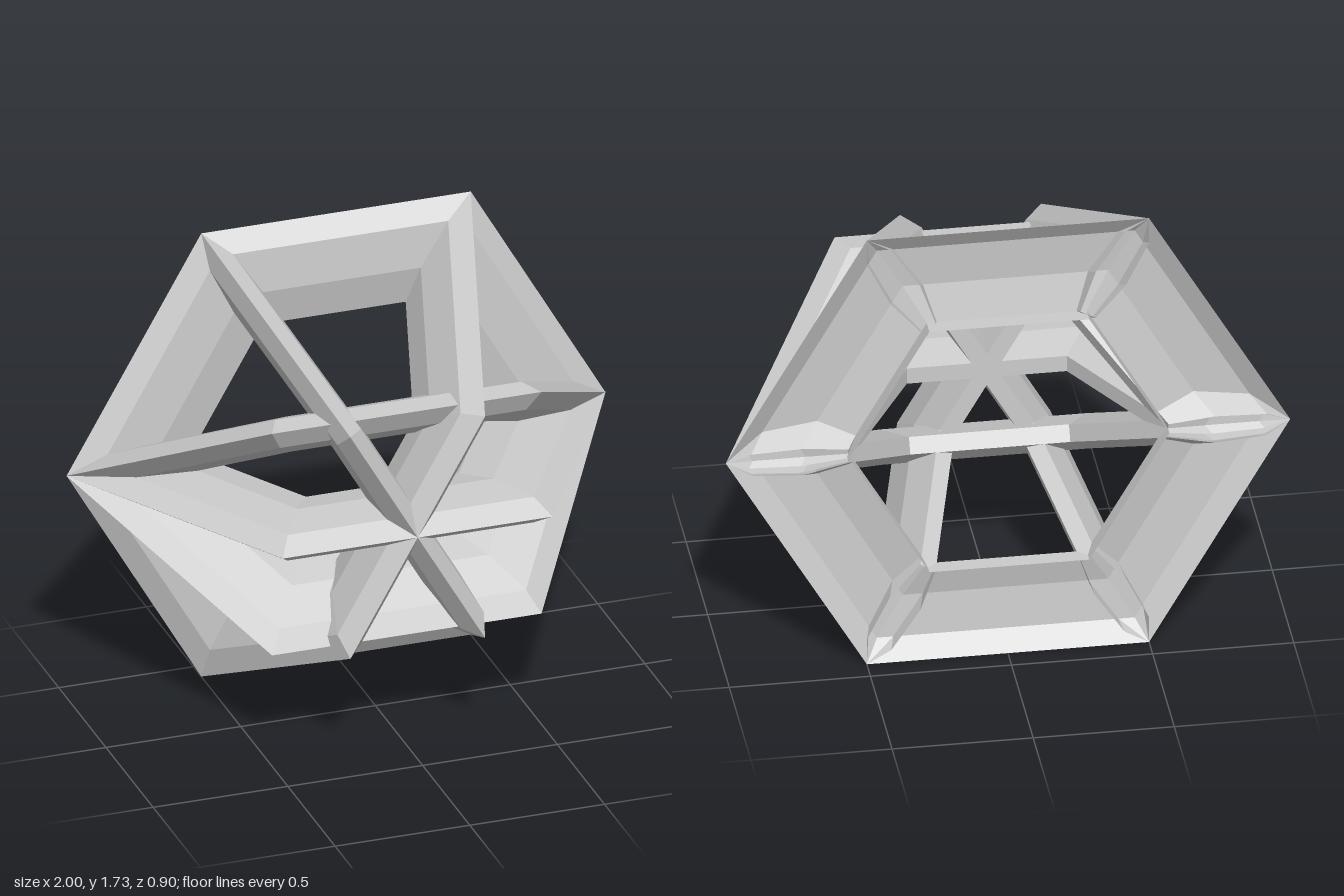
import * as THREE from 'three';

// Beam cross-section: [depth inward from the outer ridge, offset along the frame normal]
const OPEN = [[0, 0], [0.075, 0.05], [0.235, 0.062], [0.375, 0.031], [0.375, -0.031]];
const CLOSED = [...OPEN, [0.235, -0.062], [0.075, -0.05], [0, 0]];
const APOTHEM = Math.sqrt(3) / 2;
const BASE_Z = -0.418;

const material = new THREE.MeshStandardMaterial({
  color: 0xcccccc, flatShading: true, side: THREE.DoubleSide,
});

// Mitred beams along consecutive sides of a unit hexagon in the XY plane
function hexBeams(sides, section) {
  const point = (k, [depth, offset]) => {
    const r = 1 - depth / APOTHEM;
    const a = k * Math.PI / 3;
    return [r * Math.cos(a), r * Math.sin(a), offset];
  };
  const pos = [];
  for (let k = 0; k < sides; k++) {
    for (let j = 0; j < section.length - 1; j++) {
      const a = point(k, section[j]), b = point(k + 1, section[j]);
      const c = point(k + 1, section[j + 1]), d = point(k, section[j + 1]);
      pos.push(...a, ...b, ...c, ...a, ...c, ...d);
    }
  }
  const geo = new THREE.BufferGeometry();
  geo.setAttribute('position', new THREE.Float32BufferAttribute(pos, 3));
  geo.computeVertexNormals();
  return geo;
}

export function createModel() {
  const model = new THREE.Group();
  model.name = 'hexagonalFramework';

  const add = (name, geo, tilt, turn) => {
    const mesh = new THREE.Mesh(geo, material);
    mesh.name = name;
    mesh.rotation.set(tilt * Math.PI / 180, 0, turn * Math.PI / 180, 'ZYX');
    mesh.position.set(0, APOTHEM, BASE_Z);
    model.add(mesh);
  };

  // Full hexagon ring at the rear, hollow on its back
  add('rearHexagon', hexBeams(6, OPEN), 0, 0);

  // Half-hexagon arches with open ends
  const arch = hexBeams(3, CLOSED);
  [0, 60, 120].forEach((turn, i) => add(`uprightArch${i + 1}`, arch, 90, turn));

  // Two arches leaning up and down about the horizontal diagonal
  add('upperTiltedArch', arch, 60, 0);
  add('lowerTiltedArch', arch, 120, 0);

  return model;
}
